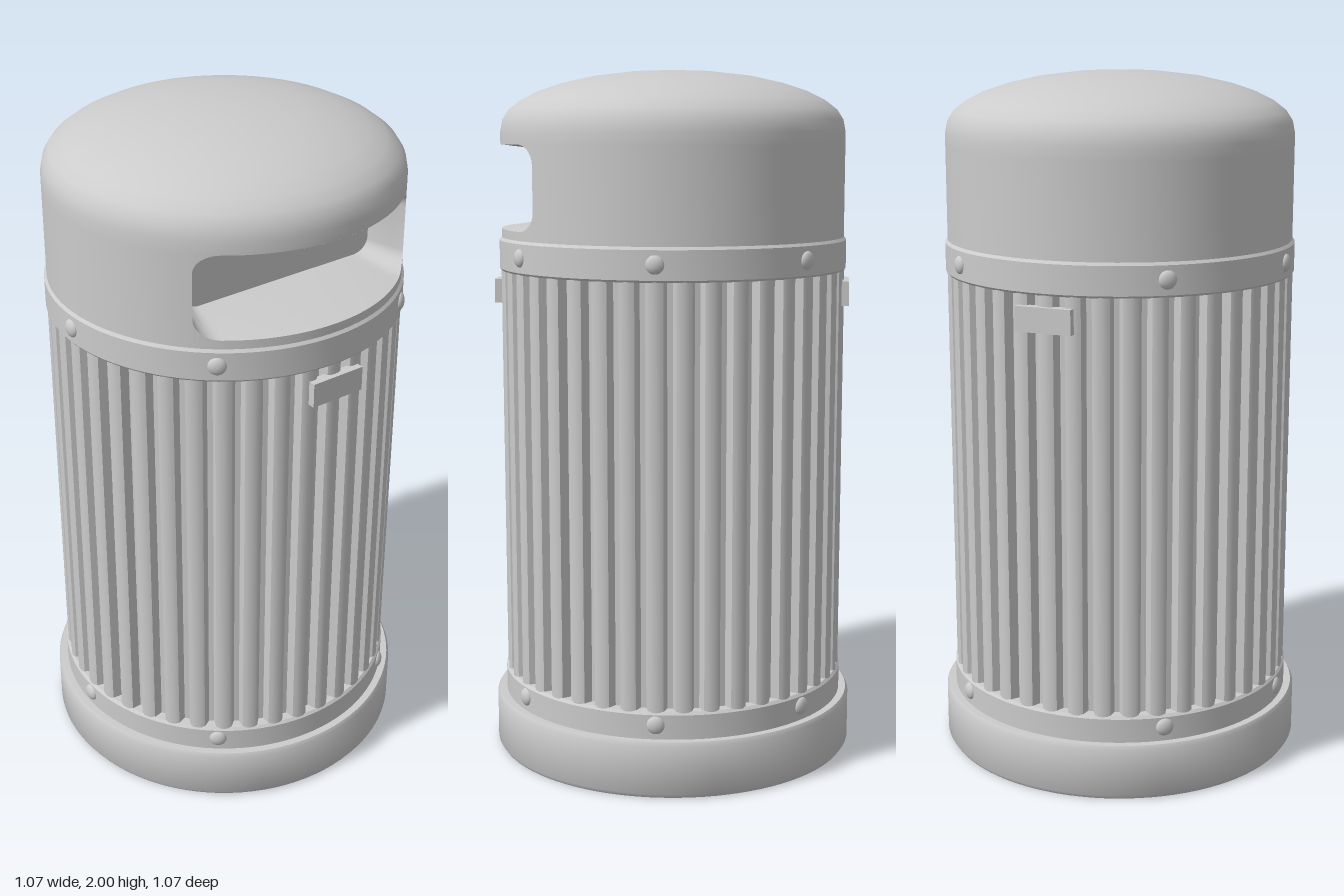
import * as THREE from 'three';
import { toCreasedNormals } from 'three/addons/utils/BufferGeometryUtils.js';

const V2 = (x, y) => new THREE.Vector2(x, y);
const grey = new THREE.MeshStandardMaterial({ color: 0xcccccc, side: THREE.DoubleSide });

function add(parent, name, geometry) {
  const mesh = new THREE.Mesh(geometry, grey);
  mesh.name = name;
  parent.add(mesh);
  return mesh;
}

const lathe = (pts) =>
  toCreasedNormals(new THREE.LatheGeometry(pts.map(([r, y]) => V2(r, y)), 96), 0.6);

// Skin a list of equal-length point rows into a surface
function skin(rows) {
  const n = rows[0].length, pos = rows.flat(2), idx = [];
  for (let i = 0; i + 1 < rows.length; i++) {
    for (let j = 0; j + 1 < n; j++) {
      const a = i * n + j, b = a + 1, c = a + n, d = c + 1;
      idx.push(a, b, c, b, d, c);
    }
  }
  const g = new THREE.BufferGeometry();
  g.setAttribute('position', new THREE.Float32BufferAttribute(pos, 3));
  g.setIndex(idx);
  g.computeVertexNormals();
  return g;
}

const R = 0.5;                                   // hood radius
const onHood = (a, y) => [R * Math.sin(a), y, R * Math.cos(a)];

// Rounded opening: half width, centre height, half height, corner radius
const W = 0.355, CY = 1.67, H = 0.12, CR = 0.055;

// Half height of the opening at a given x
function openingHalf(x) {
  const d = Math.max(0, Math.abs(x) - (W - CR));
  return H - CR + Math.sqrt(Math.max(0, CR * CR - d * d));
}

function ribbedBody() {
  const shape = new THREE.Shape(), ribs = 40, step = (Math.PI * 2) / ribs;
  // One rib and groove: fraction of the step, radius
  const profile = [[0, 0.472], [0.12, 0.498], [0.24, 0.502], [0.4, 0.503],
    [0.56, 0.502], [0.68, 0.498], [0.8, 0.472]];
  for (let i = 0; i < ribs; i++) {
    profile.forEach(([f, r], k) => {
      const a = (i + f - 0.4) * step;
      const x = r * Math.sin(a), y = r * Math.cos(a);
      if (i + k === 0) shape.moveTo(x, y); else shape.lineTo(x, y);
    });
  }
  shape.closePath();
  const g = new THREE.ExtrudeGeometry(shape, { depth: 1.23, bevelEnabled: false });
  g.rotateX(-Math.PI / 2).translate(0, 0.22, 0);
  return toCreasedNormals(g, 0.5);
}

function hood() {
  const group = new THREE.Group();
  group.name = 'hood';

  // Dome and the ring just under it
  add(group, 'dome', lathe([[R, 1.79], [R, 1.825], [0.493, 1.86], [0.475, 1.888],
    [0.44, 1.915], [0.39, 1.94], [0.32, 1.963], [0.23, 1.983], [0.12, 1.996], [0, 2]]));

  // Solid wall round the sides and back
  const edge = Math.asin(W / R), back = [];
  for (let i = 0; i <= 72; i++) {
    const a = edge + ((Math.PI * 2 - 2 * edge) * i) / 72;
    back.push([onHood(a, 1.79), onHood(a, 1.5)]);
  }
  add(group, 'hoodWall', skin(back.map((r) => [r[1], r[0]])));

  // Wall strips below and above the opening, with a lip running into a recess
  const xs = [];
  for (let i = 0; i <= 8; i++) xs.push(-W + CR * (1 - Math.cos((i / 8) * Math.PI / 2)));
  for (let i = 1; i < 24; i++) xs.push((-1 + i / 12) * (W - CR));
  for (let i = 8; i >= 0; i--) xs.push(W - CR * (1 - Math.cos((i / 8) * Math.PI / 2)));
  const strip = (from, to) => skin(xs.map((x) => {
    const a = Math.asin(x / R);
    return [onHood(a, from(x)), onHood(a, to(x))];
  }));
  add(group, 'wallBelowOpening', strip(() => 1.5, (x) => CY - openingHalf(x)));
  add(group, 'wallAboveOpening', strip((x) => CY + openingHalf(x), () => 1.79));

  // Recess: contour of the opening taken inward to a smaller back panel
  const loop = [...xs.map((x) => [x, -openingHalf(x)]),
    ...[...xs].reverse().map((x) => [x, openingHalf(x)])];
  loop.push(loop[0]);
  const recess = loop.map(([x, y]) => {
    const z = Math.sqrt(R * R - x * x);
    return [[x, CY + y, z], [x * 0.96, CY + y * 0.96, z - 0.035],
      [x * 0.88, CY + y * 0.78, 0.25]];
  });
  add(group, 'openingRecess', toCreasedNormals(skin(recess), 0.6));
  const panel = new THREE.Shape(loop.slice(0, -1).map(([x, y]) => V2(x * 0.88, y * 0.78)));
  add(group, 'recessBack', new THREE.ShapeGeometry(panel)).position.set(0, CY, 0.25);
  return group;
}

export function createModel() {
  const model = new THREE.Group();
  model.name = 'litterBin';

  // Wide plinth
  add(model, 'base', lathe([[0, 0], [0.527, 0], [0.535, 0.012], [0.535, 0.15],
    [0.528, 0.162], [0.48, 0.162]]));
  add(model, 'ribbedBody', ribbedBody());

  // Plain bands above and below the ribs
  for (const [name, y0, y1] of [['lowerBand', 0.155, 0.24], ['upperBand', 1.43, 1.525]]) {
    add(model, name, lathe([[0.465, y0], [0.502, y0], [0.507, y0 + 0.006],
      [0.507, y1 - 0.008], [0.5, y1], [0.465, y1]]));
  }

  // Domed bolts, six per band
  for (const y of [0.203, 1.478]) {
    for (const deg of [38, 90, 142, 218, 270, 322]) {
      const a = THREE.MathUtils.degToRad(deg);
      const bolt = add(model, 'bolt', new THREE.SphereGeometry(0.026, 16, 10));
      bolt.scale.z = 0.55;
      bolt.position.set(0.505 * Math.sin(a), y, 0.505 * Math.cos(a));
      bolt.rotation.y = a;
    }
  }

  // Small blank plates, front and back
  for (const s of [1, -1]) {
    const plate = add(model, s > 0 ? 'frontPlate' : 'backPlate',
      new THREE.BoxGeometry(0.165, 0.07, 0.03));
    plate.position.set(0, 1.365, s * 0.502);
  }

  model.add(hood());
  return model;
}
